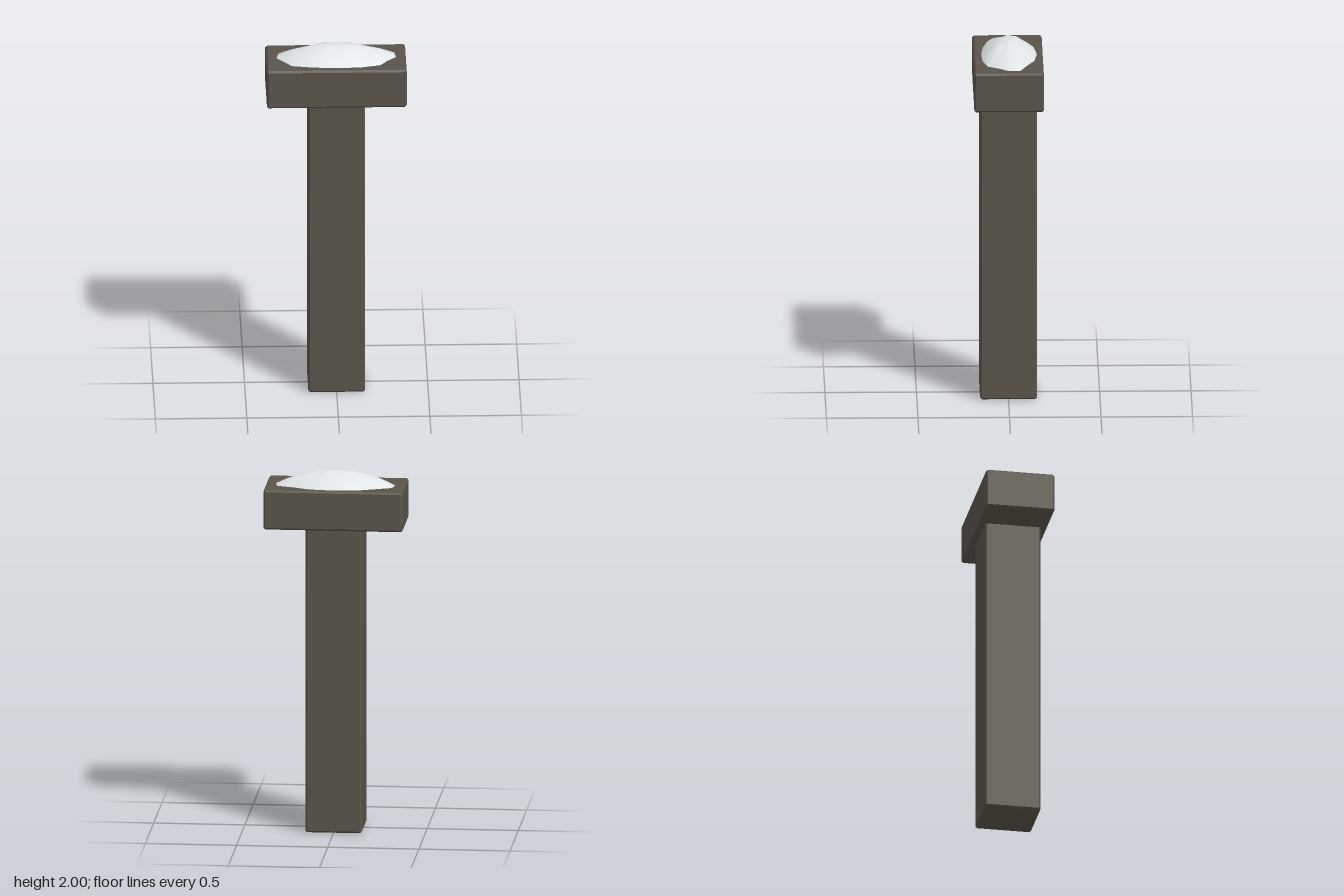
import * as THREE from 'three';
import { ConvexGeometry } from 'three/addons/geometries/ConvexGeometry.js';

// Box with every edge and corner chamfered by c, standing on y = bottom
function chamferedBox(w, h, d, c, bottom) {
  const points = [];
  for (const sx of [-1, 1]) for (const sy of [-1, 1]) for (const sz of [-1, 1]) {
    for (let axis = 0; axis < 3; axis++) {
      const [x, y, z] = [w, h, d].map((s, i) => s / 2 - (i === axis ? 0 : c));
      points.push(new THREE.Vector3(sx * x, sy * y + h / 2 + bottom, sz * z));
    }
  }
  return new ConvexGeometry(points);
}

// Smooth mound: an uneven outline shrunk ring by ring towards the peak
function moundGeometry(outline, base, height) {
  const n = outline.length;
  const scales = [0.25, 0.5, 0.75, 0.9, 1, 1.03];
  const positions = [0, base + height, 0];
  const index = [];
  scales.forEach((s, r) => {
    outline.forEach(([x, z], i) => {
      const ripple = 0.004 * Math.sin(i * 2.4 + 1) * Math.sin(Math.PI * Math.min(s, 1));
      positions.push(x * s, base + height * (1 - s * s) + ripple, z * s);
      const j = (i + 1) % n;
      const a = 1 + r * n + i, b = 1 + r * n + j;
      if (r === 0) index.push(0, b, a);
      else index.push(a - n, b - n, a, b - n, b, a);
    });
  });
  const geometry = new THREE.BufferGeometry();
  geometry.setAttribute('position', new THREE.Float32BufferAttribute(positions, 3));
  geometry.setIndex(index);
  geometry.computeVertexNormals();
  return geometry;
}

export function createModel() {
  const model = new THREE.Group();
  model.name = 'snowCappedPost';
  const stone = new THREE.MeshStandardMaterial({ color: 0x5a5449 });
  stone.name = 'dark stone';
  const snow = new THREE.MeshStandardMaterial({ color: 0xe8eef0 });
  snow.name = 'snow white';

  const add = (name, geometry, material) => {
    const mesh = new THREE.Mesh(geometry, material);
    mesh.name = name;
    model.add(mesh);
  };

  // Square post and the wider block on top of it
  add('post', chamferedBox(0.31, 1.72, 0.31, 0.01, 0), stone);
  add('capBlock', chamferedBox(0.764, 0.22, 0.38, 0.01, 1.7), stone);

  // Snow lying on the cap, outline as x, z from the left side round the front
  const outline = [
    [0.328, 0], [0.28, 0.05], [0.24, 0.112], [0.13, 0.141],
    [0, 0.147], [-0.13, 0.136], [-0.245, 0.112], [-0.287, 0.05],
    [-0.325, 0], [-0.314, -0.065], [-0.22, -0.105], [-0.13, -0.143],
    [0, -0.158], [0.13, -0.142], [0.22, -0.102], [0.32, -0.065],
  ];
  add('snowMound', moundGeometry(outline, 1.92, 0.08), snow);
  return model;
}
